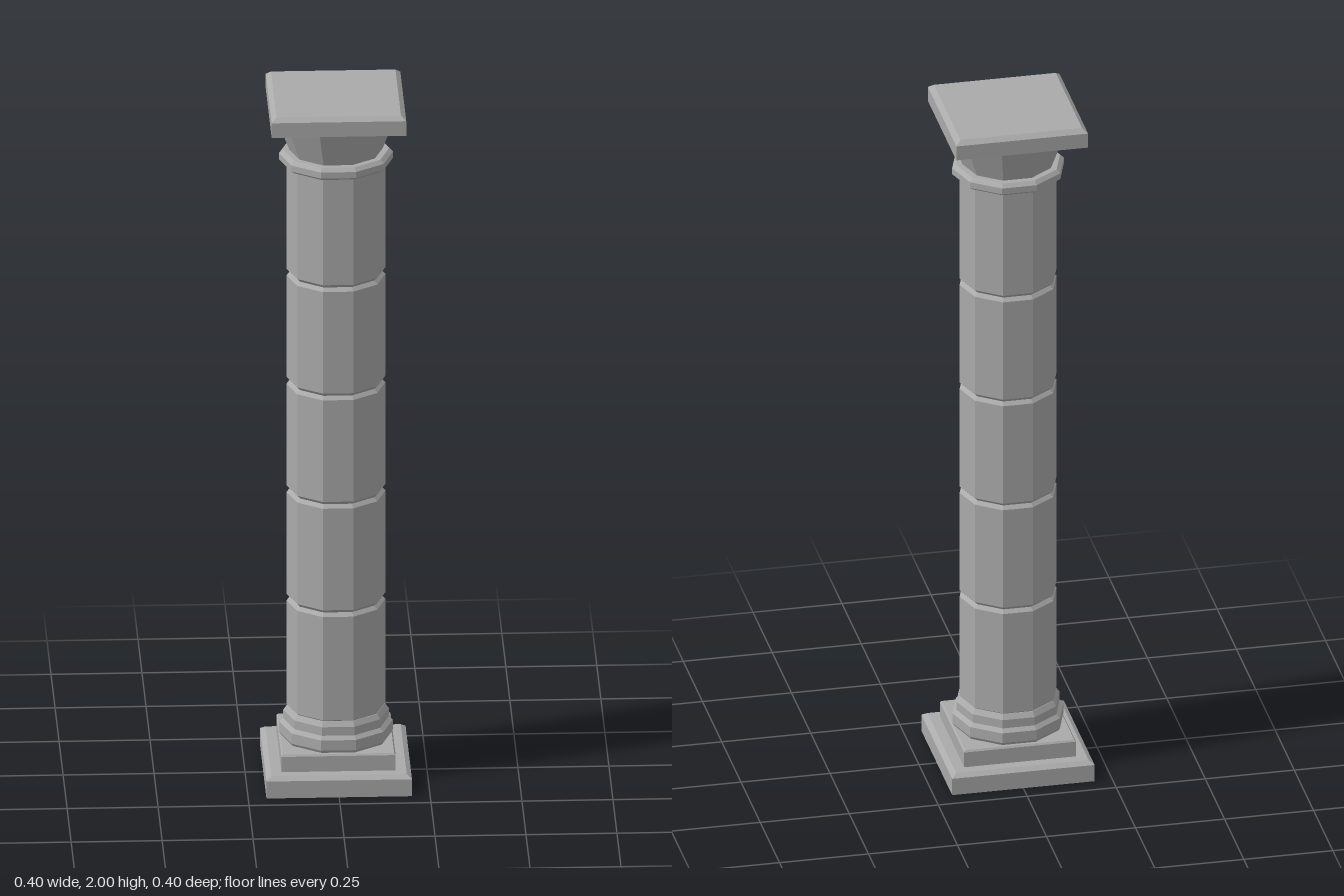
import * as THREE from 'three';

// Flat-faceted solid of revolution; profile is [radius, y] from bottom to top, capped at both ends
function faceted(profile, sides, phase, material, name) {
  const closed = [[0, profile[0][1]], ...profile, [0, profile[profile.length - 1][1]]];
  const points = closed.map(([r, y]) => new THREE.Vector2(r, y));
  const geometry = new THREE.LatheGeometry(points, sides, phase).toNonIndexed();
  geometry.computeVertexNormals();
  const mesh = new THREE.Mesh(geometry, material);
  mesh.name = name;
  return mesh;
}

export function createModel() {
  const stone = new THREE.MeshStandardMaterial({ color: 0xaaaaaa });
  stone.name = 'grey stone';

  const column = new THREE.Group();
  column.name = 'column';

  // Square slab with a chamfered top edge
  const slab = (name, half, y0, y1, inset, drop) => column.add(faceted(
    [[half, y0], [half, y1 - drop], [half - inset, y1]].map(([r, y]) => [r * Math.SQRT2, y]),
    4, Math.PI / 4, stone, name));
  // Ten-sided part with corners on the x axis
  const round = (name, profile) => column.add(faceted(profile, 10, Math.PI / 10, stone, name));

  // Stepped square foot
  slab('lowerPlinth', 0.2, 0, 0.06, 0.014, 0.01);
  slab('upperPlinth', 0.157, 0.06, 0.11, 0.004, 0.005);

  // Moulded base rings
  round('baseMoulding', [
    [0.15, 0.108], [0.156, 0.118], [0.156, 0.148], [0.145, 0.158],
    [0.145, 0.183], [0.135, 0.197],
  ]);

  // Five shaft drums with chamfered joints
  const joints = [0.19, 0.515, 0.835, 1.155, 1.475, 1.81];
  for (let i = 0; i < 5; i++) {
    const y0 = joints[i], y1 = joints[i + 1];
    round('shaftDrum' + (i + 1), [
      [0.126, y0], [0.136, y0 + 0.01], [0.136, y1 - 0.01], [0.126, y1],
    ]);
  }

  // Neck ring
  round('neckRing', [
    [0.146, 1.8], [0.157, 1.808], [0.157, 1.826], [0.146, 1.836],
  ]);

  // Flared capital
  round('capital', [[0.126, 1.83], [0.137, 1.875], [0.17, 1.946]].filter((p, i) => i !== 1));

  // Square top slab
  slab('abacus', 0.185, 1.945, 2, 0.014, 0.012);

  return column;
}
